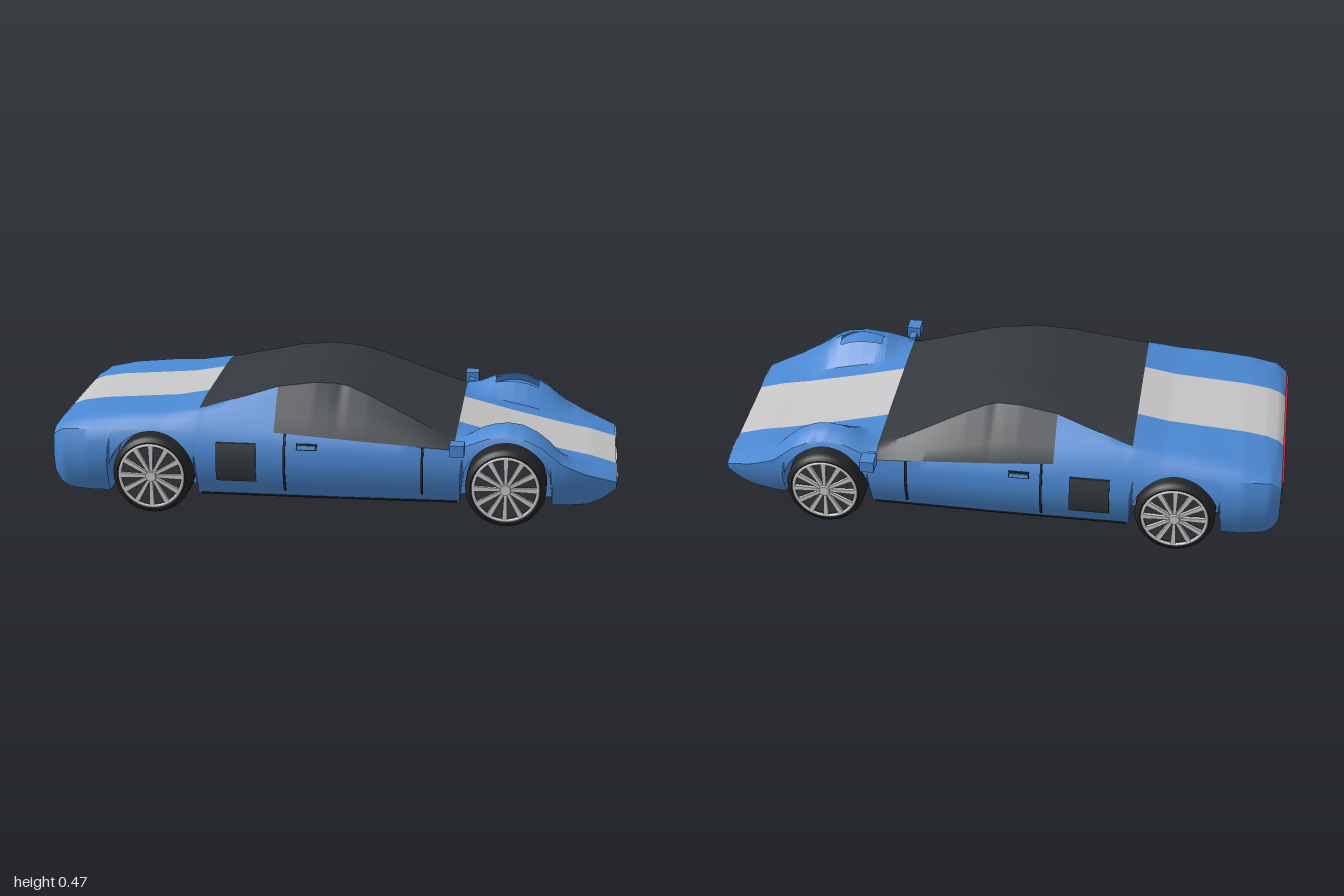
import * as THREE from 'three';
import { toCreasedNormals } from 'three/addons/utils/BufferGeometryUtils.js';

const paint = (name, color, side = THREE.FrontSide) => {
  const m = new THREE.MeshStandardMaterial({ color, side });
  m.name = name;
  return m;
};

// Piecewise-linear curve through [x, value] points
const curve = (pts) => (x) => {
  if (x <= pts[0][0]) return pts[0][1];
  for (let i = 1; i < pts.length; i++) {
    const [x0, v0] = pts[i - 1], [x1, v1] = pts[i];
    if (x <= x1) return v0 + (v1 - v0) * (x - x0) / (x1 - x0);
  }
  return pts[pts.length - 1][1];
};
const lerp = THREE.MathUtils.lerp;

// Body lines along the length: nose at +x
const halfWidth = curve([[-0.99, 0.39], [-0.95, 0.42], [-0.86, 0.437], [0, 0.432], [0.4, 0.422], [0.7, 0.42], [0.82, 0.4], [0.92, 0.37], [0.99, 0.345]]);
const floorY = curve([[-0.99, 0.13], [-0.97, 0.09], [-0.94, 0.07], [-0.9, 0.065], [0.89, 0.065], [0.94, 0.085], [0.99, 0.125]]);
const shoulderY = curve([[-0.99, 0.265], [-0.95, 0.29], [-0.8, 0.3], [-0.2, 0.305], [0.43, 0.266], [0.48, 0.285], [0.54, 0.305], [0.61, 0.315], [0.68, 0.303], [0.73, 0.28], [0.8, 0.225], [0.88, 0.187], [0.99, 0.15]]);
const centreY = curve([[-0.99, 0.29], [-0.97, 0.31], [-0.93, 0.325], [-0.85, 0.338], [-0.7, 0.349], [-0.58, 0.358], [-0.45, 0.382], [-0.3, 0.421], [-0.2, 0.449], [-0.14, 0.461], [-0.07, 0.465], [0, 0.461], [0.05, 0.452], [0.12, 0.428], [0.25, 0.37], [0.37, 0.316], [0.43, 0.293], [0.6, 0.25], [0.8, 0.205], [0.9, 0.186], [0.99, 0.16]]);
const edgeY = curve([[-0.99, 0.283], [-0.95, 0.311], [-0.85, 0.334], [-0.7, 0.348], [-0.58, 0.353], [-0.45, 0.372], [-0.3, 0.411], [-0.2, 0.439], [-0.07, 0.454], [0, 0.451], [0.05, 0.443], [0.12, 0.419], [0.25, 0.363], [0.37, 0.312], [0.43, 0.29], [0.48, 0.305], [0.52, 0.325], [0.56, 0.338], [0.61, 0.345], [0.66, 0.339], [0.71, 0.316], [0.75, 0.285], [0.79, 0.245], [0.83, 0.215], [0.9, 0.188], [0.99, 0.16]]);
const edgeZ = curve([[-0.99, 0.34], [-0.47, 0.35], [-0.2, 0.29], [0.02, 0.265], [0.43, 0.36], [0.52, 0.315], [0.8, 0.315], [0.99, 0.29]]);
const roundness = curve([[-0.5, 1], [-0.2, 0], [0.43, 0], [0.52, 1]]);
const sideZ = (x, y) => halfWidth(x) * (1 - 6 * (y - 0.2) ** 2);

const WHEELS = [-0.63, 0.61];
const archY = (x) => {
  let y = floorY(x);
  for (const c of WHEELS) {
    const d = Math.abs(x - c);
    if (d < 0.155) y = Math.max(y, 0.14 + Math.sqrt(0.155 ** 2 - d * d));
  }
  return y;
};

// Half cross-section [z, y] from floor centre, round the side, to top centre
function halfSection(x) {
  const f = floorY(x), b = archY(x), s = shoulderY(x), c = centreY(x), e = edgeY(x), ze = edgeZ(x);
  const inner = Math.min(0.28, halfWidth(x) * 0.8);
  const pts = [[0, f], [inner, f], [inner, b], [inner + 0.035, b]];
  for (let k = 0; k <= 5; k++) {
    const y = lerp(b, s, k / 5);
    pts.push([sideZ(x, y), y]);
  }
  const zs = sideZ(x, s);
  for (const t of [1 / 3, 2 / 3]) {
    pts.push([lerp(zs, ze, t), lerp(s, e, lerp(t, Math.sin(t * Math.PI / 2), roundness(x)))]);
  }
  pts.push([ze, e], [ze - 0.03, lerp(c, e, 0.75)], [ze - 0.095, lerp(c, e, 0.08)], [0.158, c], [0, c]);
  return pts;
}

// Lofted body skin, split into blue, glass and stripe faces
function bodyGeometry() {
  const pos = [], faces = [[], [], []];
  const N = halfSection(0).length, R = 2 * N - 1, cols = 199;
  for (let i = 0; i < cols; i++) {
    const x = (i - 99) / 100, h = halfSection(x);
    for (let j = 0; j < R; j++) {
      const [z, y] = j < N ? h[j] : h[R - 1 - j];
      pos.push(x, y, j < N ? z : -z);
    }
  }
  const quad = (g, a, b, c, d) => faces[g].push(a, b, c, a, c, d);
  for (let i = 0; i < cols - 1; i++) {
    const x = (i - 98.5) / 100;
    for (let j = 0; j < R - 1; j++) {
      const m = j < N - 1 ? j : R - 2 - j;
      if (x > 0.54 && x < 0.7 && (m === 12 || m === 2)) continue; // fender vent slot
      let g = 0;
      if (x > -0.47 && x < 0.43) g = m >= (x > -0.2 ? 9 : 12) ? 1 : 0;
      else if (m === N - 2) g = 2;
      const a = i * R + j;
      quad(g, a, a + R, a + R + 1, a + 1);
    }
  }
  // Closed nose and tail
  for (let j = 0; j < N - 1; j++) {
    const o = (cols - 1) * R;
    quad(0, o + R - 1 - j, o + R - 2 - j, o + j + 1, o + j);
    quad(0, j, j + 1, R - 2 - j, R - 1 - j);
  }
  const geo = new THREE.BufferGeometry();
  geo.setAttribute('position', new THREE.Float32BufferAttribute(pos, 3));
  geo.setIndex(faces.flat());
  let start = 0;
  faces.forEach((f, g) => { geo.addGroup(start, f.length, g); start += f.length; });
  return toCreasedNormals(geo, 0.55);
}

export function createModel() {
  const blue = paint('body blue', 0x4b88d2, THREE.DoubleSide);
  const glass = paint('dark glass', 0x34393e);
  const stripe = paint('stripe grey', 0xc6c6c6);
  const rubber = paint('tyre black', 0x222426);
  const metal = paint('wheel silver', 0xc9c9c7);
  const red = paint('tail light red', 0xc81e3a);
  const car = new THREE.Group();
  car.name = 'sportsCar';
  const add = (parent, name, geo, mat, x = 0, y = 0, z = 0) => {
    const mesh = new THREE.Mesh(geo, mat);
    mesh.name = name;
    mesh.position.set(x, y, z);
    parent.add(mesh);
    return mesh;
  };

  add(car, 'body', bodyGeometry(), [blue, glass, stripe]);

  // Thin plate bent to follow the body side
  const sidePlate = (name, mat, x0, x1, y0, y1, sgn, lift = 0.002) => {
    const g = new THREE.BoxGeometry(x1 - x0, y1 - y0, 0.008, 4, 8, 1);
    g.translate((x0 + x1) / 2, (y0 + y1) / 2, 0);
    const p = g.attributes.position;
    for (let i = 0; i < p.count; i++) p.setZ(i, p.getZ(i) + sgn * (sideZ(p.getX(i), p.getY(i)) + lift));
    g.computeVertexNormals();
    add(car, name, g, mat);
  };
  for (const s of [1, -1]) {
    sidePlate('sideIntake', glass, -0.4, -0.26, 0.13, 0.268, s);
    sidePlate('rearDoorSeam', rubber, -0.164, -0.156, 0.095, 0.302, s);
    sidePlate('frontDoorSeam', rubber, 0.316, 0.324, 0.1, 0.272, s);
    sidePlate('doorHandleRecess', rubber, -0.118, -0.046, 0.252, 0.272, s);
    sidePlate('doorHandle', blue, -0.114, -0.05, 0.256, 0.268, s, 0.005);
    sidePlate('sill', rubber, -0.46, 0.44, 0.066, 0.073, s, 0);
    add(car, 'mirror', new THREE.BoxGeometry(0.05, 0.04, 0.06), blue, 0.443, 0.288, s * 0.46);
    add(car, 'mirrorStalk', new THREE.BoxGeometry(0.025, 0.018, 0.05), blue, 0.443, 0.28, s * 0.415);
  }

  // Oval plates on the nose and tail
  const oval = (name, mat, x, y, z, hy, hz) => {
    const g = new THREE.CylinderGeometry(1, 1, 0.008, 32).rotateZ(Math.PI / 2).scale(1, hy, hz);
    add(car, name, g, mat, x, y, z);
  };
  oval('noseGrilleRim', metal, 0.99, 0.139, 0, 0.014, 0.057);
  oval('noseGrille', glass, 0.993, 0.139, 0, 0.012, 0.052);
  for (const s of [1, -1]) {
    oval('noseIntake', glass, 0.992, 0.133, s * 0.223, 0.007, 0.082);
    oval('headlight', metal, 0.99, 0.154, s * 0.223, 0.003, 0.075);
  }
  add(car, 'tailPanel', new THREE.BoxGeometry(0.008, 0.095, 0.66), glass, -0.992, 0.207, 0);
  add(car, 'tailLight', new THREE.BoxGeometry(0.009, 0.01, 0.7), red, -0.993, 0.264, 0);
  oval('exhaust', metal, -0.995, 0.162, 0, 0.016, 0.085);

  // Wheels
  const tyreProfile = [[0.108, 0.06], [0.122, 0.065], [0.134, 0.058], [0.14, 0.042], [0.14, -0.042], [0.134, -0.058], [0.122, -0.065], [0.02, -0.062]];
  const tyre = toCreasedNormals(new THREE.LatheGeometry(tyreProfile.map(([r, h]) => new THREE.Vector2(r, -h)), 48).rotateX(-Math.PI / 2), 0.7);
  const spoke = new THREE.Shape([[-0.005, 0.015], [0.005, 0.015], [0.009, 0.112], [-0.009, 0.112]].map(([x, y]) => new THREE.Vector2(x, y)));
  const spokeGeo = new THREE.ExtrudeGeometry(spoke, { depth: 0.012, bevelEnabled: false });
  rubber.side = THREE.DoubleSide;
  for (const x of WHEELS) for (const s of [1, -1]) {
    const wheel = new THREE.Group();
    wheel.name = (x > 0 ? 'front' : 'rear') + (s > 0 ? 'Near' : 'Far') + 'Wheel';
    wheel.position.set(x, 0.14, s * 0.375);
    if (s < 0) wheel.rotation.y = Math.PI;
    add(wheel, 'tyre', tyre, rubber);
    add(wheel, 'wheelBack', new THREE.CylinderGeometry(0.112, 0.112, 0.02, 40).rotateX(Math.PI / 2), glass, 0, 0, 0.04);
    add(wheel, 'rim', new THREE.TorusGeometry(0.112, 0.006, 8, 48), metal, 0, 0, 0.062);
    add(wheel, 'hub', new THREE.CylinderGeometry(0.018, 0.024, 0.025, 24).rotateX(Math.PI / 2), metal, 0, 0, 0.062);
    for (let k = 0; k < 12; k++) {
      add(wheel, 'spoke', spokeGeo, metal, 0, 0, 0.055).rotation.z = k * Math.PI / 6;
    }
    car.add(wheel);
  }
  return car;
}
